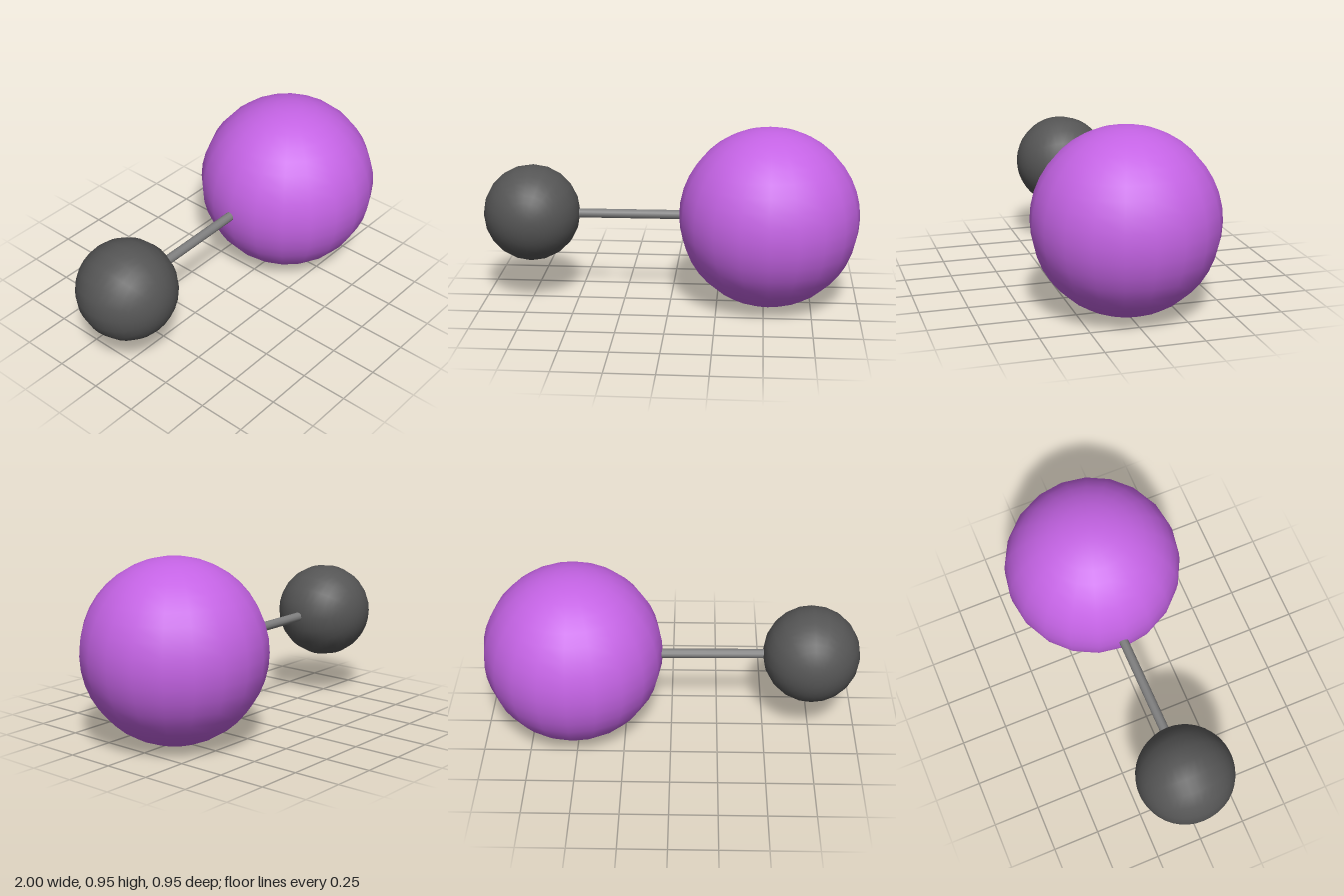
import * as THREE from 'three';

const CENTRE_Y = 0.48;

function part(name, geometry, color) {
  const mesh = new THREE.Mesh(geometry, new THREE.MeshStandardMaterial({ color }));
  mesh.name = name;
  return mesh;
}

export function createModel() {
  const model = new THREE.Group();
  model.name = 'ballAndStickPair';

  // Large ball, poles up and down
  const largeBall = part('largeBall', new THREE.SphereGeometry(0.477, 20, 20), 0xc463e4);
  largeBall.position.set(0.522, CENTRE_Y, 0);

  // Small ball, poles front and back
  const smallBall = part('smallBall', new THREE.SphereGeometry(0.257, 20, 20), 0x555555);
  smallBall.position.set(-0.743, CENTRE_Y, 0);
  smallBall.rotation.x = Math.PI / 2;

  // Connecting rod, tilted very slightly, with its ends sunk into the balls
  const start = new THREE.Vector3(-0.6, CENTRE_Y, -0.003);
  const end = new THREE.Vector3(0.2, CENTRE_Y, -0.013);
  const axis = end.clone().sub(start);
  const rod = part('connectingRod', new THREE.CylinderGeometry(0.025, 0.025, axis.length(), 12), 0x808080);
  rod.position.copy(start).add(end).multiplyScalar(0.5);
  rod.quaternion.setFromUnitVectors(new THREE.Vector3(0, 1, 0), axis.normalize());

  model.add(largeBall, smallBall, rod);
  return model;
}
